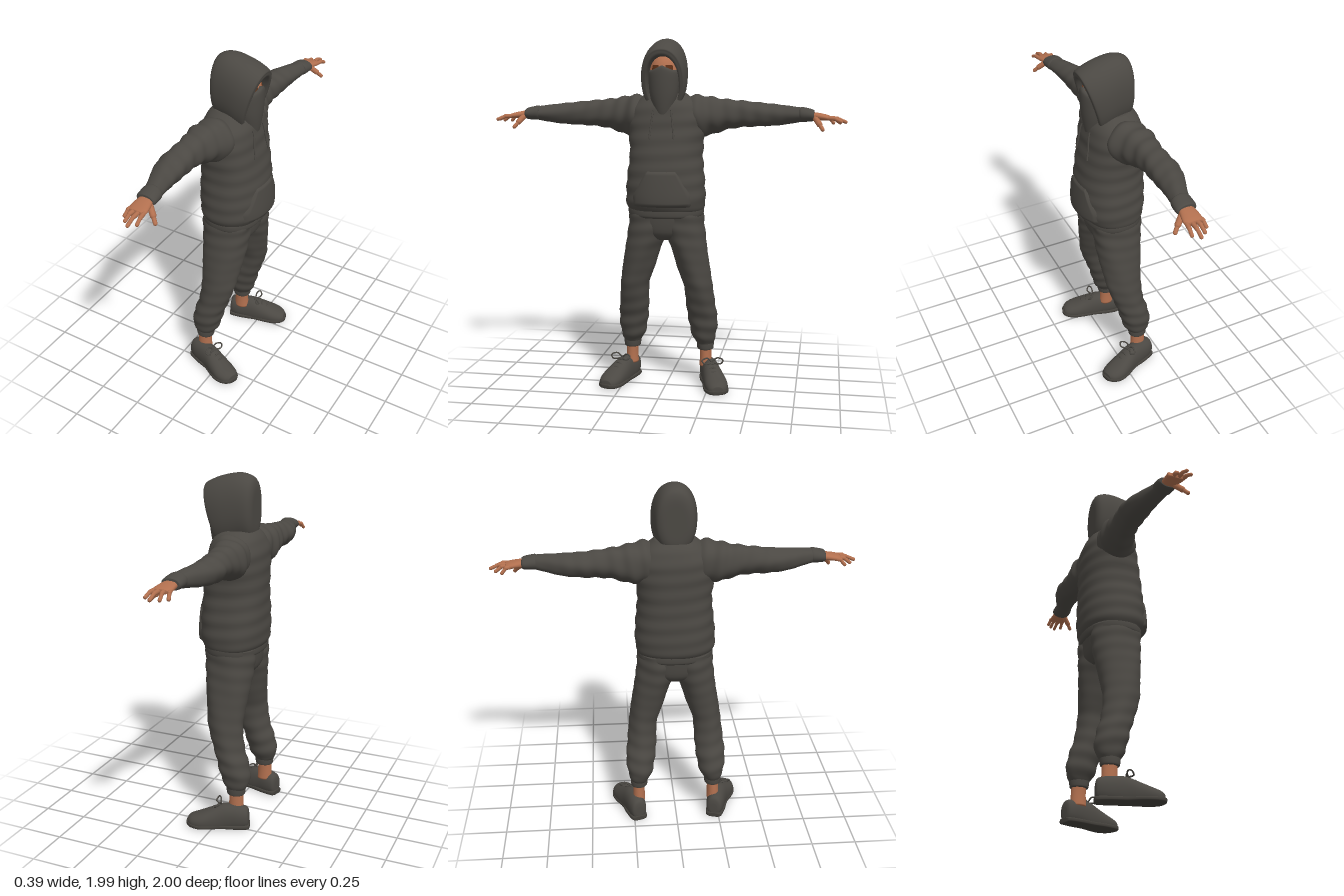
import * as THREE from 'three';

const mat = (name, color, side = THREE.FrontSide) => Object.assign(new THREE.MeshStandardMaterial({ color, side }), { name });

// Catmull-Rom sample of a list of equally long section rows at t in 0..1
function sample(rows, t) {
  const f = t * (rows.length - 1), i = Math.min(Math.floor(f), rows.length - 2), u = f - i;
  const [a, b, c, d] = [i - 1, i, i + 1, i + 2].map(k => rows[Math.max(0, Math.min(rows.length - 1, k))]);
  return b.map((_, k) => 0.5 * (2 * b[k] + (c[k] - a[k]) * u + (2 * a[k] - 5 * b[k] + 4 * c[k] - d[k]) * u * u
    + (3 * b[k] - a[k] - 3 * c[k] + d[k]) * u * u * u));
}

// Closed loft through superellipse sections along one axis.
// y rows: [y, x, z, rx, rz]   z rows: [z, x, y, rx, ry]   x rows: [x, y, z, ry, rz, optional slant]
function loft(axis, rows, { n = 2, folds = 0, seg = 36, steps = 5, move = v => v } = {}) {
  const pos = [], idx = [], m = (rows.length - 1) * steps;
  const put = (a, p, q, sl) => {
    const v = axis === 'y' ? new THREE.Vector3(p, a, q) : axis === 'z' ? new THREE.Vector3(p, q, a) : new THREE.Vector3(a + sl, p, q);
    pos.push(...move(v).toArray());
  };
  for (let i = 0; i <= m; i++) {
    const [a, c1, c2, r1, r2, slant = 0] = sample(rows, i / m);
    const fade = Math.min(1, i / 4, (m - i) / 4);
    for (let j = 0; j < seg; j++) {
      const t = j / seg * Math.PI * 2, c = Math.cos(t), s = Math.sin(t);
      const w = 1 + folds * fade * (Math.sin(3 * t + 41 * a) * Math.sin(2 * t - 29 * a + 1) + 0.6 * Math.sin(t + 75 * a));
      const p = Math.sign(c) * Math.abs(c) ** (2 / n) * r1 * w, q = Math.sign(s) * Math.abs(s) ** (2 / n) * r2 * w;
      put(a, c1 + p, c2 + q, slant * p);
      if (i < m) {
        const A = i * seg + j, B = i * seg + (j + 1) % seg;
        idx.push(A, A + seg, B, B, A + seg, B + seg);
      }
    }
  }
  // end caps
  [[rows[0], 0], [rows[rows.length - 1], m * seg]].forEach(([r, base], e) => {
    const k = pos.length / 3;
    put(r[0], r[1], r[2], 0);
    for (let j = 0; j < seg; j++) {
      const A = base + j, B = base + (j + 1) % seg;
      e ? idx.push(k, B, A) : idx.push(k, A, B);
    }
  });
  // turn every face outward
  let vol = 0;
  const P = k => new THREE.Vector3().fromArray(pos, k * 3);
  for (let k = 0; k < idx.length; k += 3) vol += P(idx[k]).dot(P(idx[k + 1]).cross(P(idx[k + 2])));
  if (vol < 0) idx.reverse();
  const g = new THREE.BufferGeometry();
  g.setAttribute('position', new THREE.Float32BufferAttribute(pos, 3));
  g.setIndex(idx);
  g.computeVertexNormals();
  return g;
}

const tube = (pts, r) => new THREE.TubeGeometry(new THREE.CatmullRomCurve3(pts.map(p => new THREE.Vector3(...p))), 20, r, 7);

function capsule(p, q, r) {
  const a = new THREE.Vector3(...p), b = new THREE.Vector3(...q), d = b.clone().sub(a);
  const g = new THREE.CapsuleGeometry(r, d.length(), 5, 10);
  g.applyQuaternion(new THREE.Quaternion().setFromUnitVectors(new THREE.Vector3(0, 1, 0), d.clone().normalize()));
  return g.translate(...a.add(b).multiplyScalar(0.5).toArray());
}

const TORSO = [
  [1.03, -0.015, 0, 0.155, 0.207], [1.08, -0.012, 0, 0.18, 0.224], [1.2, -0.012, 0, 0.182, 0.22],
  [1.35, -0.017, 0, 0.173, 0.206], [1.5, -0.03, 0, 0.16, 0.216], [1.58, -0.032, 0, 0.152, 0.208],
  [1.64, -0.032, 0, 0.132, 0.17], [1.69, -0.025, 0, 0.1, 0.11]];

// x of the sweater's front at a height and sideways position
function frontX(y, z) {
  let lo = 0, hi = 1;
  for (let k = 0; k < 30; k++) { const t = (lo + hi) / 2; sample(TORSO, t)[0] < y ? lo = t : hi = t; }
  const [, cx, , rx, rz] = sample(TORSO, lo);
  return cx + rx * Math.max(0, 1 - Math.abs(z / rz) ** 2.3) ** (1 / 2.3);
}

export function createModel() {
  const cloth = mat('charcoal cloth', 0x4b4843), pocketCloth = mat('charcoal pocket cloth', 0x4b4843, THREE.DoubleSide);
  const skin = mat('skin', 0xb2704f), sole = mat('dark sole', 0x43403b), eyeTone = mat('eye brown', 0x5c3018);
  const root = new THREE.Group();
  root.name = 'hoodedFigure';
  const add = (name, g, m = cloth, parent = root) => {
    const mesh = new THREE.Mesh(g, m);
    mesh.name = name;
    parent.add(mesh);
  };

  // Sweater body, hem and trouser seat
  add('sweaterBody', loft('y', TORSO, { n: 2.3, folds: 0.014, seg: 56, steps: 8 }));
  add('sweaterHem', loft('y', [[1.0, -0.015, 0, 0.152, 0.2], [1.012, -0.015, 0, 0.162, 0.212],
    [1.045, -0.015, 0, 0.163, 0.214], [1.06, -0.015, 0, 0.155, 0.205]], { n: 2.3, seg: 56 }));
  add('trouserSeat', loft('y', [[0.87, -0.02, 0, 0.09, 0.07], [0.92, -0.02, 0, 0.132, 0.16], [1.04, -0.02, 0, 0.145, 0.2]], { n: 2.3 }));

  // Front pocket following the sweater, sealed down at its edges
  const pocket = new THREE.PlaneGeometry(2, 1, 28, 16), pp = pocket.attributes.position;
  for (let i = 0; i < pp.count; i++) {
    const u = pp.getX(i), v = pp.getY(i) + 0.5, y = 1.065 + 0.205 * v;
    const z = -u * (0.165 - 0.085 * Math.max(0, (v - 0.3) / 0.7));
    const puff = Math.abs(u) > 0.99 || v < 0.01 || v > 0.99 ? -0.004 : 0.01 + 0.012 * (1 - v) * (1 - u * u);
    pp.setXYZ(i, frontX(y, z) + puff, y, z);
  }
  pocket.computeVertexNormals();
  add('frontPocket', pocket, pocketCloth);

  // Hood: outer shell, rim, then turned inside
  add('hood', loft('x', [
    [-0.132, 1.8, 0, 0.06, 0.035, 0], [-0.129, 1.8, 0, 0.13, 0.075, 0], [-0.105, 1.8, 0, 0.172, 0.104, 0],
    [-0.04, 1.8, 0, 0.19, 0.118, 0.03], [0.04, 1.78, 0, 0.19, 0.126, 0.15], [0.098, 1.757, 0, 0.178, 0.12, 0.29],
    [0.108, 1.752, 0, 0.165, 0.106, 0.3], [0.1, 1.745, 0, 0.148, 0.09, 0.3], [0.04, 1.745, 0, 0.145, 0.088, 0.2]],
  { n: 2.2, seg: 48 }));

  // Head and face covering
  add('head', new THREE.SphereGeometry(1, 32, 24).scale(0.1, 0.13, 0.085).translate(0.03, 1.79, 0), skin);
  add('nose', new THREE.SphereGeometry(1, 14, 10).scale(0.014, 0.022, 0.012).translate(0.128, 1.818, 0), skin);
  add('faceMask', loft('y', [[1.54, 0.06, 0, 0.05, 0.04], [1.6, 0.068, 0, 0.056, 0.055], [1.68, 0.066, 0, 0.07, 0.076],
    [1.76, 0.057, 0, 0.085, 0.085], [1.805, 0.05, 0, 0.092, 0.087], [1.818, 0.045, 0, 0.088, 0.083]],
  { move: v => { if (v.y > 1.74) v.y += 0.3 * (v.y - 1.74) * Math.max(0, 1 - Math.abs(v.z) / 0.06) - 0.05 * Math.abs(v.z); return v; } }));

  for (const s of [1, -1]) {
    const side = new THREE.Group();
    side.name = s > 0 ? 'positiveSide' : 'negativeSide';
    root.add(side);
    const flip = v => { v.z *= s; return v; };
    const part = (name, axis, rows, opt = {}, m = cloth) => add(name, loft(axis, rows, { move: flip, ...opt }), m, side);
    const at = (x, y, z) => [x, y, z * s];

    // Eye as a thin patch on the face, and hood drawstring
    add('eye', new THREE.SphereGeometry(1, 10, 6, Math.PI - s * 0.5 - 0.26, 0.52, 1.16, 0.2)
      .scale(0.102, 0.132, 0.087).translate(0.03, 1.79, 0), eyeTone, side);
    add('drawstring', tube([1.6, 1.56, 1.5, 1.44].map(y => at(frontX(y, 0.06) + 0.006, y, 0.05 + (1.6 - y) * 0.12)), 0.005), cloth, side);

    // Sleeve and cuff
    part('sleeve', 'z', [[0.08, -0.035, 1.56, 0.1, 0.1], [0.17, -0.045, 1.565, 0.115, 0.115], [0.25, -0.07, 1.565, 0.1, 0.106],
      [0.32, -0.076, 1.572, 0.083, 0.088], [0.4, -0.08, 1.575, 0.075, 0.076], [0.5, -0.083, 1.572, 0.079, 0.068],
      [0.6, -0.072, 1.57, 0.069, 0.06], [0.68, -0.052, 1.572, 0.056, 0.05], [0.765, -0.03, 1.575, 0.046, 0.037]], { folds: 0.045, steps: 8 });
    part('sleeveCuff', 'z', [[0.74, -0.033, 1.576, 0.045, 0.034], [0.752, -0.032, 1.576, 0.053, 0.041],
      [0.805, -0.03, 1.572, 0.055, 0.034], [0.82, -0.03, 1.571, 0.046, 0.028]]);

    // Hand
    part('palm', 'z', [[0.79, -0.028, 1.57, 0.034, 0.022], [0.84, -0.025, 1.566, 0.044, 0.02],
      [0.885, -0.022, 1.56, 0.05, 0.017], [0.908, -0.02, 1.557, 0.042, 0.012]], { n: 2.3 }, skin);
    const fingers = [[-0.06, 0.88, -0.074, 0.925, 1.53], [-0.036, 0.895, -0.046, 0.96, 1.532],
      [-0.01, 0.9, -0.01, 0.99, 1.537], [0.016, 0.895, 0.026, 0.965, 1.54]];
    for (const [x0, z0, x1, z1, y1] of fingers) {
      const mid = at((x0 + x1) / 2, 1.556, (z0 + z1) / 2);
      add('fingerBase', capsule(at(x0, 1.558, z0), mid, 0.0115), skin, side);
      add('fingerTip', capsule(mid, at(x1, y1, z1), 0.0098), skin, side);
    }
    add('thumbBase', capsule(at(0.0, 1.56, 0.825), at(0.035, 1.525, 0.85), 0.016), skin, side);
    add('thumbTip', capsule(at(0.035, 1.525, 0.85), at(0.058, 1.498, 0.868), 0.011), skin, side);

    // Trouser leg, cuff and ankle
    part('trouserLeg', 'y', [[0.235, -0.105, 0.217, 0.055, 0.048], [0.28, -0.103, 0.211, 0.08, 0.068], [0.34, -0.092, 0.209, 0.088, 0.08],
      [0.4, -0.078, 0.204, 0.088, 0.085], [0.48, -0.052, 0.195, 0.09, 0.084], [0.6, -0.027, 0.184, 0.102, 0.082],
      [0.7, -0.022, 0.16, 0.113, 0.093], [0.8, -0.02, 0.138, 0.127, 0.1], [0.88, -0.02, 0.117, 0.136, 0.11],
      [0.97, -0.02, 0.1, 0.143, 0.115], [1.04, -0.02, 0.098, 0.143, 0.112]], { folds: 0.035, steps: 8 });
    part('trouserCuff', 'y', [[0.2, -0.105, 0.218, 0.046, 0.042], [0.208, -0.105, 0.218, 0.053, 0.048],
      [0.25, -0.105, 0.217, 0.056, 0.05], [0.262, -0.105, 0.216, 0.048, 0.044]]);
    part('ankle', 'y', [[0.1, -0.108, 0.22, 0.045, 0.036], [0.16, -0.108, 0.22, 0.042, 0.034], [0.23, -0.106, 0.218, 0.04, 0.034]], {}, skin);

    // Shoe turned outward, flat underneath
    const yaw = 0.3, place = v => flip(new THREE.Vector3(
      v.x * Math.cos(yaw) - v.z * Math.sin(yaw) - 0.015, Math.max(0.004, v.y), v.x * Math.sin(yaw) + v.z * Math.cos(yaw) + 0.272));
    part('shoeUpper', 'x', [[-0.18, 0.06, 0, 0.03, 0.022], [-0.17, 0.065, 0, 0.06, 0.042], [-0.13, 0.065, 0, 0.073, 0.052],
      [-0.07, 0.062, 0, 0.08, 0.053], [-0.02, 0.055, 0, 0.083, 0.056], [0.04, 0.043, 0.004, 0.07, 0.063],
      [0.1, 0.035, 0.006, 0.052, 0.066], [0.15, 0.03, 0.003, 0.038, 0.053], [0.172, 0.03, 0, 0.022, 0.03]], { n: 2.2, move: place });
    part('shoeSole', 'x', [[-0.184, 0.015, 0, 0.012, 0.024], [-0.172, 0.015, 0, 0.015, 0.046], [-0.1, 0.015, 0, 0.015, 0.056],
      [-0.02, 0.015, 0, 0.015, 0.056], [0.05, 0.015, 0.004, 0.015, 0.068], [0.11, 0.015, 0.005, 0.015, 0.07],
      [0.158, 0.018, 0.002, 0.015, 0.053], [0.181, 0.02, 0, 0.011, 0.024]],
    { n: 3.5, move: v => { const p = place(v); p.y = Math.max(0, v.y); return p; } }, sole);
    const onShoe = (x, y, z) => place(new THREE.Vector3(x, y, z)).toArray();
    for (const [x, y] of [[-0.005, 0.135], [0.025, 0.121], [0.055, 0.106]])
      add('lace', tube([onShoe(x, y - 0.025, -0.038), onShoe(x, y, 0), onShoe(x, y - 0.025, 0.038)], 0.005), cloth, side);
    for (const w of [1, -1])
      add('laceLoop', tube([onShoe(-0.02, 0.14, 0), onShoe(-0.015, 0.165, w * 0.03), onShoe(0, 0.155, w * 0.062),
        onShoe(0.012, 0.138, w * 0.045), onShoe(-0.015, 0.138, 0)], 0.0045), cloth, side);
  }
  return root;
}
